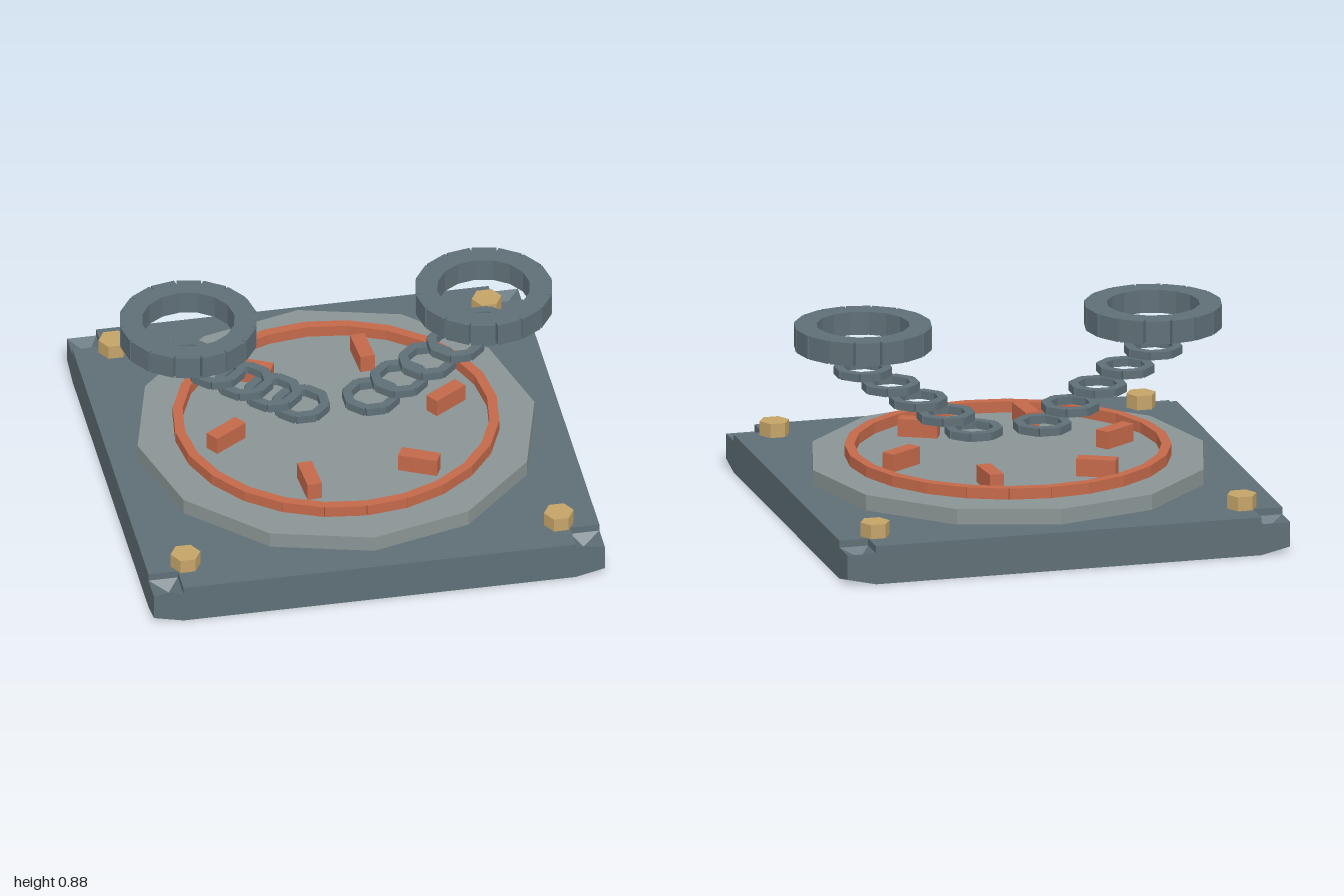
import * as THREE from 'three';

const mat = (color) => new THREE.MeshStandardMaterial({ color, flatShading: true });

export function createModel() {
  const model = new THREE.Group();
  const slate = mat(0x5f6f77);
  const stone = mat(0x8a9494);
  const copper = mat(0xc4694a);
  const brass = mat(0xc4a468);

  const add = (parent, name, geo, material, x = 0, y = 0, z = 0) => {
    const mesh = new THREE.Mesh(geo, material);
    mesh.name = name;
    mesh.position.set(x, y, z);
    parent.add(mesh);
    return mesh;
  };

  // Square plate with a notch at each corner
  const c = 0.87;
  const outline = [
    [-c, -1], [c, -1], [c, -c], [1, -c], [1, c], [c, c],
    [c, 1], [-c, 1], [-c, c], [-1, c], [-1, -c], [-c, -c],
  ].map(([x, y]) => new THREE.Vector2(x, y));
  const plate = new THREE.ExtrudeGeometry(new THREE.Shape(outline), { depth: 0.172, bevelEnabled: false });
  plate.rotateX(-Math.PI / 2);
  add(model, 'basePlate', plate, slate);

  // Chipped corner pieces, dished above and below
  const corner = new THREE.BufferGeometry();
  corner.setAttribute('position', new THREE.Float32BufferAttribute([
    c, 0.14, 1, 1, 0.14, 1, 1, 0.14, c, c, 0.14, c, 0.92, 0.1, 0.92,
    c, 0, 1, 1, 0.03, 1, 1, 0, c, c, 0, c, 0.92, 0.05, 0.92,
  ], 3));
  corner.setIndex([
    0, 1, 4, 1, 2, 4, 2, 3, 4, 3, 0, 4,
    5, 6, 1, 5, 1, 0, 6, 7, 2, 6, 2, 1,
    5, 8, 9, 8, 7, 9, 7, 6, 9, 6, 5, 9,
  ]);
  const cornerGeo = corner.toNonIndexed();
  cornerGeo.computeVertexNormals();

  // Hexagonal bolts, one near each corner
  const boltGeo = new THREE.CylinderGeometry(0.066, 0.066, 0.065, 6);
  boltGeo.rotateY(Math.PI / 6);
  for (let i = 0; i < 4; i++) {
    add(model, 'chippedCorner', cornerGeo, slate).rotation.y = i * Math.PI / 2;
    add(model, 'bolt', boltGeo, brass, i % 2 ? 0.828 : -0.828, 0.203, i < 2 ? 0.828 : -0.828);
  }

  // Twelve-sided platform
  add(model, 'platform', new THREE.CylinderGeometry(0.88, 0.88, 0.07, 12), stone, 0, 0.207, 0);

  // Ring of boxes: wedge gaps stay open on the outside where the boxes part
  const boxRing = (name, count, inner, outer, height, width, material, turn = 0) => {
    const ring = new THREE.Group();
    ring.name = name;
    const geo = new THREE.BoxGeometry(width, height, outer - inner);
    geo.translate(0, 0, (inner + outer) / 2);
    for (let i = 0; i < count; i++) {
      add(ring, name + 'Segment', geo, material).rotation.y = (i + turn) / count * Math.PI * 2;
    }
    model.add(ring);
    return ring;
  };

  // Copper inlay ring
  boxRing('inlayRing', 24, 0.664, 0.707, 0.05, 0.183, copper, 0.5).position.y = 0.27;

  // Six copper marker blocks
  const blockGeo = new THREE.BoxGeometry(0.175, 0.08, 0.065);
  blockGeo.rotateY(-86 * Math.PI / 180);
  blockGeo.translate(0.205, 0.281, -0.455);
  for (let i = 0; i < 6; i++) {
    add(model, 'markerBlock', blockGeo, copper).rotation.y = i * Math.PI / 3;
  }

  // Floating chains of small rings rising to a large ring on each side
  for (const side of [-1, 1]) {
    for (let i = 0; i < 5; i++) {
      const link = boxRing('chainRing', 8, 0.08, 0.12, 0.036, 0.088, slate);
      link.position.set(side * (0.155 + i * 0.125), 0.368 + i * 0.077, 0);
    }
    boxRing('largeRing', 16, 0.2, 0.297, 0.104, 0.107, slate, 0.5).position.set(side * 0.655, 0.832, 0);
  }

  return model;
}
